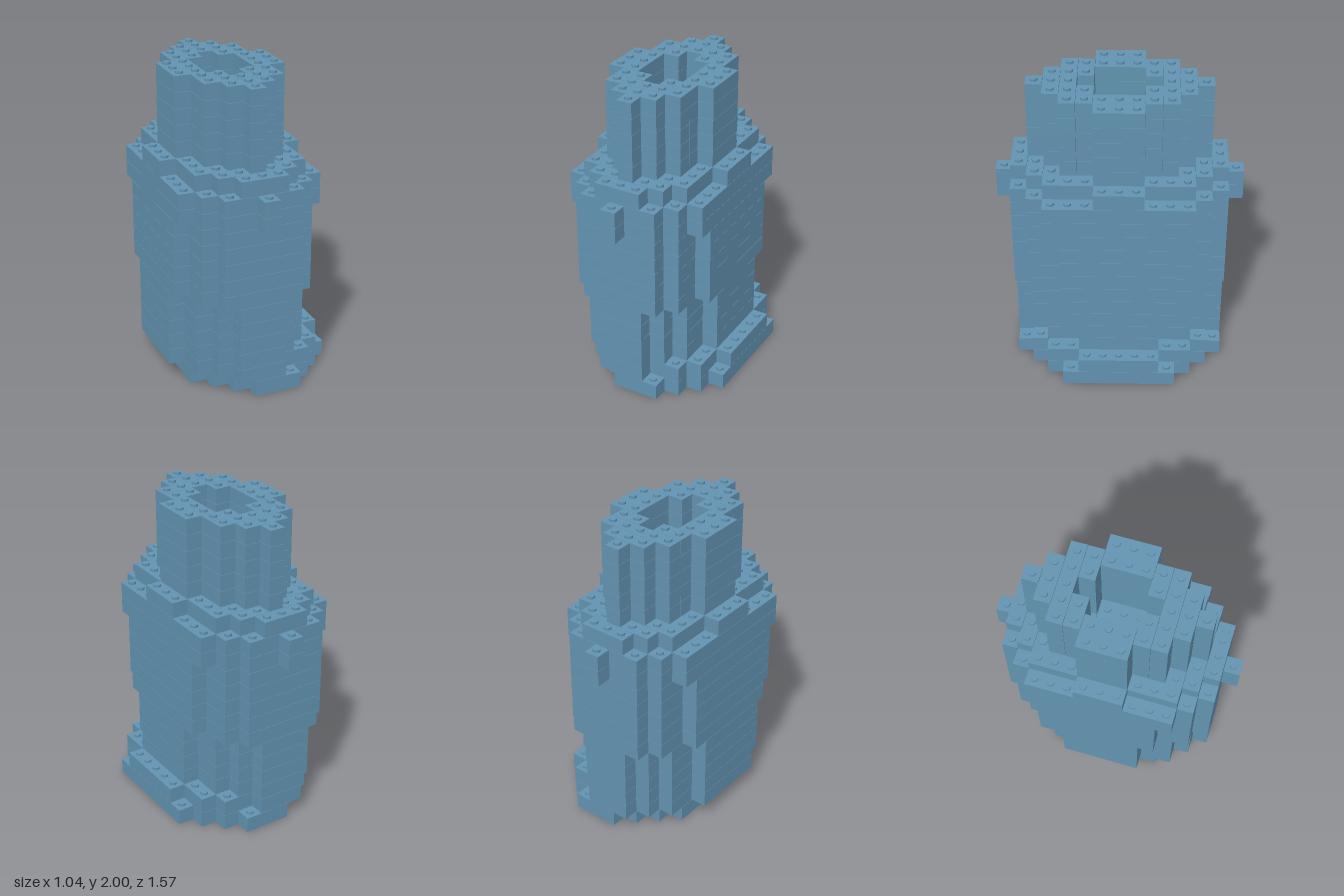
import * as THREE from 'three';
import { mergeGeometries } from 'three/addons/utils/BufferGeometryUtils.js';

const P = 0.1045;          // pitch of one stud, also the height of one layer
const GAP = 0.002;         // seam between bricks
const COLS = 10, ROWS = 15;

// Each plan is a list of blocks: [first row, last row, first column, last column]
// Mirrors the given front half of blocks to the back.
function mirrored(blocks) {
  const out = [];
  for (const [r0, r1, c0, c1] of blocks) {
    out.push([r0, r1, c0, c1]);
    if (r0 + r1 !== ROWS - 1) out.push([ROWS - 1 - r1, ROWS - 1 - r0, c0, c1]);
  }
  return out;
}

const sole = mirrored([[4, 10, 1, 9], [3, 3, 2, 8], [2, 2, 3, 7], [1, 1, 4, 6]]);
const foot = mirrored([[5, 9, 0, 9], [3, 4, 1, 8], [2, 2, 2, 7], [1, 1, 3, 5]]);
const lower = mirrored([[5, 9, 0, 8], [3, 4, 1, 7], [2, 2, 2, 6], [1, 1, 3, 5]]);
const upper = mirrored([[4, 10, 0, 8], [2, 3, 1, 7], [1, 1, 2, 6]]);
const collar = mirrored([[3, 11, 0, 8], [2, 2, 1, 7], [1, 1, 2, 6], [0, 0, 4, 4]]);
const shoulder = mirrored([[6, 8, 0, 8], [3, 5, 1, 7], [2, 2, 2, 6], [1, 1, 3, 5]]);
// Hollow ring
const ring = mirrored([
  [6, 8, 1, 2], [6, 8, 6, 7], [5, 5, 2, 3], [5, 5, 5, 6],
  [4, 4, 2, 6], [3, 3, 3, 5], [2, 2, 4, 4],
]);

const SECTIONS = [
  ['sole', sole, 1], ['foot', foot, 1], ['lowerBody', lower, 4], ['upperBody', upper, 5],
  ['collar', collar, 2], ['shoulder', shoulder, 1], ['neckRing', ring, 5],
];

const xAt = (c) => (c - COLS / 2) * P;
const zAt = (r) => (r - ROWS / 2) * P;
const covers = (plan, r, c) =>
  !!plan && plan.some(([r0, r1, c0, c1]) => r >= r0 && r <= r1 && c >= c0 && c <= c1);

function brick([r0, r1, c0, c1], layer) {
  const g = new THREE.BoxGeometry((c1 - c0 + 1) * P - GAP, P - GAP, (r1 - r0 + 1) * P - GAP);
  g.translate((xAt(c0) + xAt(c1 + 1)) / 2, (layer + 0.5) * P, (zAt(r0) + zAt(r1 + 1)) / 2);
  return g;
}

function stud(r, c, top) {
  const g = new THREE.CylinderGeometry(0.024, 0.024, 0.016, 16);
  g.translate(xAt(c + 0.5), top + 0.007, zAt(r + 0.5));
  return g;
}

export function createModel() {
  const group = new THREE.Group();
  const blue = new THREE.MeshStandardMaterial({ color: 0x6292b0 });
  blue.name = 'dusty blue';

  let layer = 0;
  SECTIONS.forEach(([name, plan, count], n) => {
    const part = new THREE.Group();
    part.name = name;

    // Stacked bricks
    const bricks = [];
    for (let i = 0; i < count; i++, layer++) {
      for (const block of plan) bricks.push(brick(block, layer));
    }
    const body = new THREE.Mesh(mergeGeometries(bricks), blue);
    body.name = name + 'Bricks';
    part.add(body);

    // Studs where the next section leaves the top open
    const above = SECTIONS[n + 1]?.[1];
    const studs = [];
    for (let r = 0; r < ROWS; r++) {
      for (let c = 0; c < COLS; c++) {
        if (covers(plan, r, c) && !covers(above, r, c)) studs.push(stud(r, c, layer * P));
      }
    }
    if (studs.length) {
      const mesh = new THREE.Mesh(mergeGeometries(studs), blue);
      mesh.name = name + 'Studs';
      part.add(mesh);
    }
    group.add(part);
  });
  return group;
}
